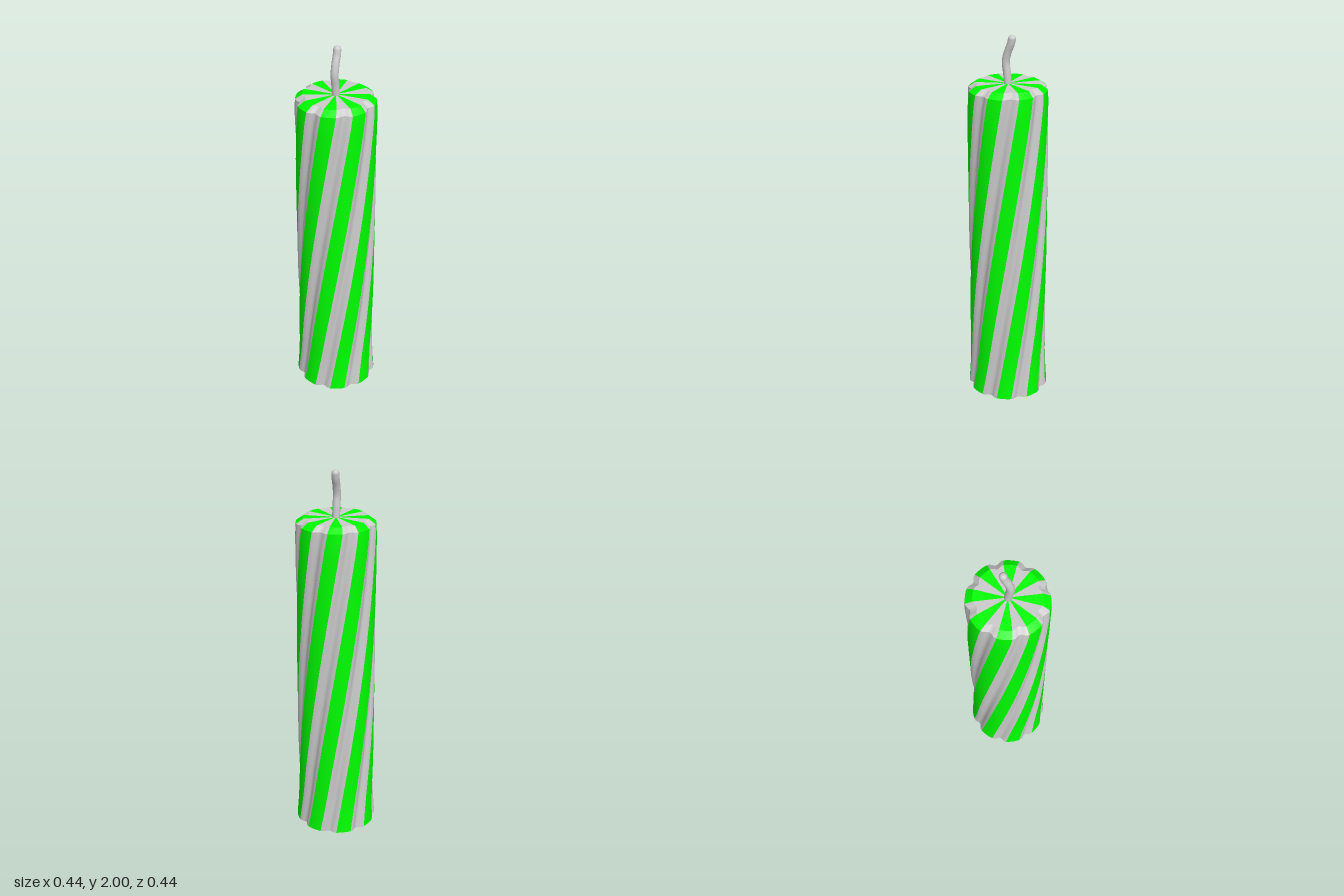
import * as THREE from 'three';
import { toCreasedNormals } from 'three/addons/utils/BufferGeometryUtils.js';

const TOP = 1.755;
const STRIPES = 8;
const DEG = Math.PI / 180;
const TWIST = 78.75 * DEG;

// Outline from the centre of the base to the centre of the top: [radius, y]
function candleProfile() {
  const rows = [[0, 0], [0.218, 0], [0.211, 0.1]];
  for (let i = 0; i <= 28; i++) rows.push([0.207, 0.2 + (1.46 * i) / 28]);
  rows.push([0.203, 1.725], [0.167, 1.75], [0, 1.75]);
  return rows;
}

// Twisted stripes repeated around the axis; section holds [angle in degrees, radius factor]
function stripeGeometry(section, offset) {
  const rows = candleProfile();
  const positions = [];
  const point = (s, [r, y], centre) => {
    const a = centre + s[0] * DEG + TWIST * (y / TOP - 1);
    return [r * s[1] * Math.sin(a), y, r * s[1] * Math.cos(a)];
  };
  for (let k = 0; k < STRIPES; k++) {
    const centre = ((k + offset) * 2 * Math.PI) / STRIPES;
    for (let j = 0; j < rows.length - 1; j++) {
      for (let i = 0; i < section.length - 1; i++) {
        const a = point(section[i], rows[j], centre);
        const b = point(section[i + 1], rows[j], centre);
        const c = point(section[i + 1], rows[j + 1], centre);
        const d = point(section[i], rows[j + 1], centre);
        // Rows on the axis fan out, so they need only one triangle
        if (rows[j][0] > 0) positions.push(...a, ...b, ...c);
        if (rows[j + 1][0] > 0) positions.push(...a, ...c, ...d);
      }
    }
  }
  const g = new THREE.BufferGeometry();
  g.setAttribute('position', new THREE.Float32BufferAttribute(positions, 3));
  return toCreasedNormals(g, 0.6);
}

export function createModel() {
  const group = new THREE.Group();
  const grey = new THREE.MeshStandardMaterial({ color: 0xcccccc });
  const green = new THREE.MeshStandardMaterial({ color: 0x00ff00 });
  const add = (name, geometry, material) => {
    const mesh = new THREE.Mesh(geometry, material);
    mesh.name = name;
    group.add(mesh);
    return mesh;
  };

  // Raised round stripes and the softly grooved stripes between them
  const half = 11.8;
  const edge = 22.5 - half;
  const raised = [];
  for (let i = 0; i <= 6; i++) raised.push([edge * (i / 3 - 1), 1]);
  const groove = [
    [-half, 1], [-8, 0.985], [-5, 0.952], [-2.5, 0.921], [0, 0.912],
    [2.5, 0.921], [5, 0.952], [8, 0.985], [half, 1],
  ];
  add('raisedStripes', stripeGeometry(raised, 0.5), green);
  add('groovedStripes', stripeGeometry(groove, 0), grey);

  // Bent wick with a rounded tip
  const tip = new THREE.Vector3(0.011, 1.98, -0.019);
  const path = new THREE.CatmullRomCurve3([
    new THREE.Vector3(0, 1.74, 0),
    new THREE.Vector3(-0.004, 1.8, 0.004),
    new THREE.Vector3(-0.009, 1.86, 0.01),
    new THREE.Vector3(-0.003, 1.91, 0.001),
    new THREE.Vector3(0.008, 1.955, -0.014),
    tip,
  ]);
  add('wick', new THREE.TubeGeometry(path, 24, 0.02, 16), grey);
  add('wickTip', new THREE.SphereGeometry(0.02, 16, 12), grey).position.copy(tip);

  return group;
}
